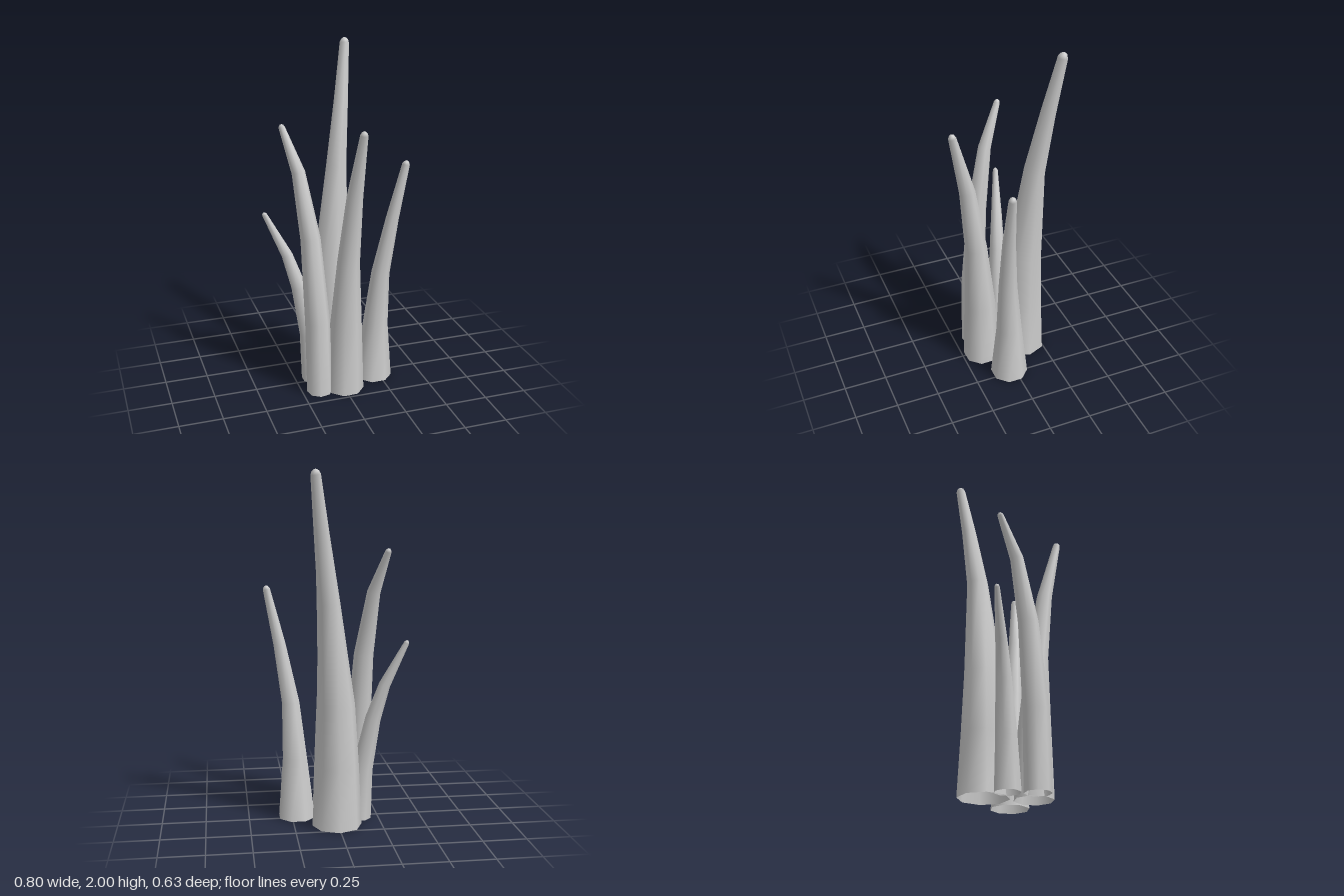
import * as THREE from 'three';

const SIDES = 8;
const UP = new THREE.Vector3(0, 1, 0);

// Each spike: twist of its octagon in degrees, and rings as [x, y, z, radius]
const SPIKES = {
  tallBackSpike: [0, [
    [0.005, 0, -0.14, 0.142], [0.005, 0.35, -0.142, 0.125], [0.012, 0.7, -0.147, 0.108],
    [0.055, 1.28, -0.183, 0.062], [0.1, 1.65, -0.235, 0.043], [0.138, 1.97, -0.289, 0.028]]],
  frontSpike: [20, [
    [0.008, 0, 0.13, 0.11], [0.01, 0.4, 0.137, 0.093], [0.018, 0.82, 0.158, 0.064],
    [0.035, 1.22, 0.21, 0.045], [0.055, 1.58, 0.293, 0.022]]],
  leftSpike: [22, [
    [0.22, 0, 0.032, 0.11], [0.229, 0.35, 0.038, 0.074], [0.25, 0.68, 0.055, 0.053],
    [0.31, 1.02, 0.075, 0.037], [0.38, 1.335, 0.086, 0.022]]],
  rightSpike: [10, [
    [-0.147, 0, 0.125, 0.075], [-0.155, 0.45, 0.117, 0.072], [-0.18, 0.95, 0.075, 0.057],
    [-0.225, 1.32, 0.005, 0.038], [-0.288, 1.555, -0.097, 0.018]]],
  shortBackSpike: [22, [
    [-0.137, 0, -0.032, 0.073], [-0.157, 0.3, -0.043, 0.06], [-0.213, 0.6, -0.066, 0.045],
    [-0.275, 0.8, -0.088, 0.033], [-0.391, 1.045, -0.128, 0.015]]],
};

// Loft tilted rings along the spike, open at the base and rounded at the tip
function spikeGeometry(twist, rings) {
  const centres = rings.map(([x, y, z]) => new THREE.Vector3(x, y, z));
  const last = rings.length - 1;
  const sections = rings.map((ring, i) => {
    const dir = i === 0 ? UP.clone()
      : centres[Math.min(i + 1, last)].clone().sub(centres[i - 1]).normalize();
    return { centre: centres[i], dir, radius: ring[3] };
  });

  // Rounded tip
  const tip = sections[last];
  for (const [rise, scale] of [[0.6, 0.75], [0.95, 0.35], [1.02, 0.001]]) {
    sections.push({
      centre: tip.centre.clone().addScaledVector(tip.dir, rise * tip.radius),
      dir: tip.dir,
      radius: tip.radius * scale,
    });
  }

  const positions = [];
  const indices = [];
  sections.forEach(({ centre, dir, radius }, i) => {
    const tilt = new THREE.Quaternion().setFromUnitVectors(UP, dir);
    for (let j = 0; j < SIDES; j++) {
      const a = (j / SIDES) * Math.PI * 2 + THREE.MathUtils.degToRad(twist);
      const p = new THREE.Vector3(Math.cos(a) * radius, 0, Math.sin(a) * radius);
      positions.push(...p.applyQuaternion(tilt).add(centre).toArray());
      if (i === 0) continue;
      const next = (j + 1) % SIDES;
      const low = (i - 1) * SIDES, high = i * SIDES;
      indices.push(low + j, high + j, low + next, low + next, high + j, high + next);
    }
  });

  const geometry = new THREE.BufferGeometry();
  geometry.setAttribute('position', new THREE.Float32BufferAttribute(positions, 3));
  geometry.setIndex(indices);
  geometry.computeVertexNormals();
  return geometry;
}

export function createModel() {
  const group = new THREE.Group();
  group.name = 'spikeCluster';
  const material = new THREE.MeshStandardMaterial({ color: 0xcccccc, side: THREE.DoubleSide });
  for (const [name, [twist, rings]] of Object.entries(SPIKES)) {
    const mesh = new THREE.Mesh(spikeGeometry(twist, rings), material);
    mesh.name = name;
    group.add(mesh);
  }
  return group;
}
